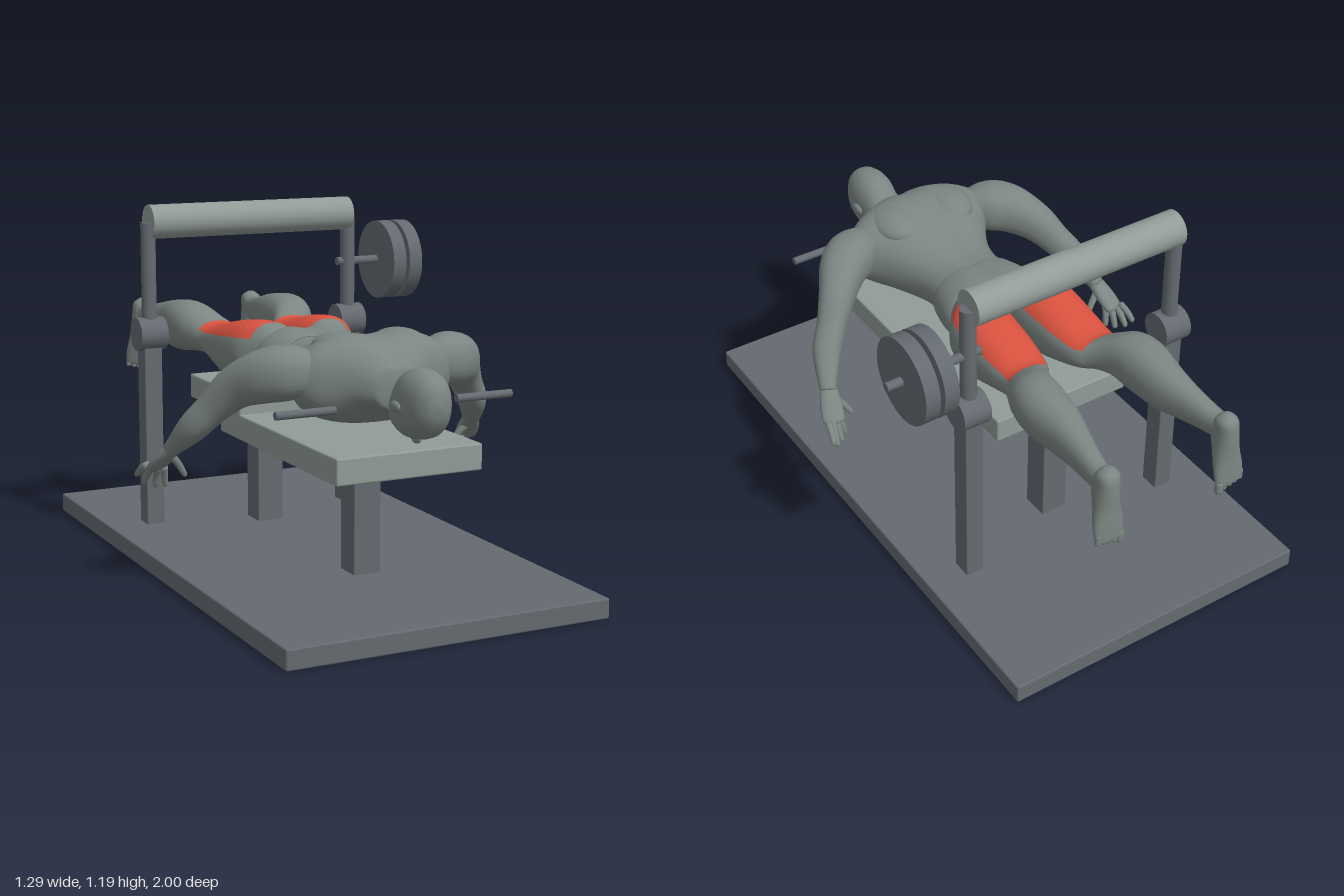
import * as THREE from 'three';
import { RoundedBoxGeometry } from 'three/addons/geometries/RoundedBoxGeometry.js';

const MID = -0.023; // centre line of machine and figure
const mat = (name, color) => Object.assign(new THREE.MeshStandardMaterial({ color }), { name });

// Smooth skin over elliptical sections [x, y, z, halfWidth, halfHeight].
// dir fixes the section plane; paint(point, sin) marks faces for the second material.
function loft(sections, { dir, up = [0, 1, 0], sides = 28, steps = 5, shape = () => 1, paint = () => false } = {}) {
  const path = new THREE.CatmullRomCurve3(sections.map(s => new THREE.Vector3(s[0], s[1], s[2])), false, 'catmullrom', 0.5);
  const size = new THREE.CatmullRomCurve3(sections.map(s => new THREE.Vector3(s[3], s[4], 0)), false, 'catmullrom', 0.5);
  const rows = (sections.length - 1) * steps;
  const pos = [], plain = [], painted = [];
  const ref = new THREE.Vector3(...up);
  for (let i = 0; i <= rows; i++) {
    const c = path.getPoint(i / rows), r = size.getPoint(i / rows);
    const t = dir ? new THREE.Vector3(...dir) : path.getTangent(i / rows);
    const u = ref.clone().cross(t).normalize(), v = t.clone().cross(u);
    for (let j = 0; j < sides; j++) {
      const a = j / sides * Math.PI * 2, cs = Math.cos(a), sn = Math.sin(a);
      const k = shape(cs, sn, c);
      const p = c.clone()
        .addScaledVector(u, Math.sign(cs) * Math.abs(cs) ** 0.88 * r.x * k)
        .addScaledVector(v, Math.sign(sn) * Math.abs(sn) ** 0.88 * r.y * k);
      pos.push(p.x, p.y, p.z);
    }
    if (i === rows) break;
    for (let j = 0; j < sides; j++) {
      const a = i * sides + j, b = i * sides + (j + 1) % sides;
      const list = paint(c, Math.sin((j + 0.5) / sides * Math.PI * 2)) ? painted : plain;
      list.push(a, b, b + sides, a, b + sides, a + sides);
    }
  }
  // end caps
  const first = sections[0], last = sections[sections.length - 1], n = pos.length / 3;
  pos.push(first[0], first[1], first[2], last[0], last[1], last[2]);
  for (let j = 0; j < sides; j++) {
    const k = (j + 1) % sides, e = rows * sides;
    plain.push(n, k, j, n + 1, e + j, e + k);
  }
  const g = new THREE.BufferGeometry();
  g.setAttribute('position', new THREE.Float32BufferAttribute(pos, 3));
  g.setIndex([...plain, ...painted]);
  g.addGroup(0, plain.length, 0);
  if (painted.length) g.addGroup(plain.length, painted.length, 1);
  g.computeVertexNormals();
  return g;
}

export function createModel() {
  const root = new THREE.Group();
  root.name = 'legCurlMachineWithFigure';
  const steel = mat('steel', 0x646a70);
  const pad = mat('padding', 0x919b97);
  const skin = mat('body', 0x7b8582);
  const red = mat('workedMuscle', 0xd9523f);

  const add = (name, geo, material, x = 0, y = 0, z = 0, parent = root) => {
    const m = new THREE.Mesh(geo, material);
    m.name = name;
    m.position.set(x, y, z);
    parent.add(m);
    return m;
  };
  // box given by its limits
  const box = (name, material, [x0, x1], [y0, y1], [z0, z1], r = 0.006) =>
    add(name, new RoundedBoxGeometry(x1 - x0, y1 - y0, z1 - z0, 2, r), material, (x0 + x1) / 2, (y0 + y1) / 2, (z0 + z1) / 2);
  // cylinder lying along x
  const rod = (name, material, x0, x1, y, z, r, sides = 40) =>
    add(name, new THREE.CylinderGeometry(r, r, x1 - x0, sides).rotateZ(Math.PI / 2), material, (x0 + x1) / 2, y, z);

  // base and bench
  box('basePlate', steel, [-0.57, 0.524], [0, 0.066], [-0.982, 1]);
  box('frontPad', pad, [-0.274, 0.228], [0.44, 0.525], [-0.15, 0.725]);
  box('rearPad', pad, [-0.274, 0.228], [0.51, 0.594], [-0.418, 0.01]);
  box('frontBenchLeg', steel, [-0.07, 0.024], [0.06, 0.445], [0.348, 0.444], 0.003);
  box('rearBenchLeg', steel, [-0.07, 0.024], [0.06, 0.515], [-0.39, -0.294], 0.003);

  // curl frame
  for (const s of [-1, 1]) {
    const x = MID + s * 0.385, side = s > 0 ? 'left' : 'right';
    box(side + 'Post', steel, [x - 0.032, x + 0.032], [0.06, 0.74], [-0.492, -0.422], 0.003);
    rod(side + 'Pivot', steel, x - 0.049, x + 0.049, 0.739, -0.457, 0.058);
    add(side + 'LeverArm', new THREE.CylinderGeometry(0.026, 0.026, 0.385, 24), steel, x, 0.9325, -0.457);
    rod(side + 'Handle', steel, MID + s * 0.309 - 0.099, MID + s * 0.309 + 0.099, 0.652, 0.63, 0.013, 20);
  }
  rod('ankleRoller', pad, -0.405, 0.361, 1.127, -0.46, 0.059);
  rod('weightBar', steel, 0.32, 0.648, 0.953, -0.457, 0.015, 20);
  rod('innerWeightPlate', steel, 0.48, 0.53, 0.952, -0.457, 0.141, 56);
  rod('outerWeightPlate', steel, 0.545, 0.595, 0.952, -0.457, 0.141, 56);

  // lying figure, face down, head towards the front
  const figure = new THREE.Group();
  figure.name = 'figure';
  figure.position.x = MID;
  root.add(figure);
  const part = (name, geo, material = skin) => add(name, geo, material, 0, 0, 0, figure);
  const back = [0, 0, -1];

  // torso with a groove along the spine
  part('torso', loft([
    [0, 0.70, 0.64, 0.065, 0.06], [0, 0.722, 0.58, 0.15, 0.10], [0, 0.718, 0.52, 0.25, 0.138],
    [0, 0.712, 0.45, 0.275, 0.147], [0, 0.70, 0.36, 0.212, 0.136], [0, 0.69, 0.27, 0.165, 0.115],
    [0, 0.69, 0.19, 0.145, 0.10], [0, 0.692, 0.118, 0.147, 0.099], [0, 0.694, 0.106, 0.16, 0.105],
    [0, 0.70, 0, 0.182, 0.113], [0, 0.70, -0.06, 0.15, 0.09], [0, 0.70, -0.1, 0.06, 0.05],
  ], {
    dir: back, sides: 56,
    shape: (c, s, p) => s > 0 ? 1 - (p.z < 0.08 ? 0.14 : 0.11) * Math.exp(-((c / 0.2) ** 2)) : 1,
  }));

  // neck and head
  part('neck', loft([
    [0, 0.715, 0.55, 0.12, 0.09], [0, 0.705, 0.61, 0.07, 0.062], [0, 0.69, 0.66, 0.056, 0.06], [0, 0.69, 0.72, 0.05, 0.06],
  ], { dir: back }));
  part('head', loft([
    [0, 0.692, 0.898, 0.008, 0.012], [0, 0.692, 0.885, 0.04, 0.055], [0, 0.686, 0.85, 0.064, 0.092],
    [0, 0.682, 0.79, 0.075, 0.108], [0, 0.674, 0.73, 0.069, 0.102], [0, 0.655, 0.68, 0.054, 0.07],
    [0, 0.645, 0.65, 0.035, 0.045], [0, 0.645, 0.64, 0.01, 0.012],
  ], { dir: back }));
  add('nose', new THREE.SphereGeometry(1, 14, 10).scale(0.013, 0.018, 0.025), skin, 0, 0.573, 0.755, figure);

  for (const s of [-1, 1]) {
    const side = s > 0 ? 'left' : 'right';
    const flip = list => list.map(([x, ...r]) => [x * s, ...r]);
    add(side + 'Ear', new THREE.SphereGeometry(1, 16, 12).scale(0.01, 0.018, 0.03), skin, s * 0.077, 0.675, 0.762, figure);
    add(side + 'ShoulderBlade', new THREE.SphereGeometry(1, 24, 16).scale(0.085, 0.05, 0.11), skin, s * 0.105, 0.806, 0.45, figure);

    // leg with the back of the thigh coloured
    part(side + 'Leg', loft(flip([
      [0.085, 0.70, 0.02, 0.06, 0.075], [0.10, 0.704, -0.04, 0.088, 0.108], [0.117, 0.702, -0.1, 0.108, 0.116],
      [0.123, 0.695, -0.2, 0.108, 0.112], [0.125, 0.70, -0.3, 0.10, 0.087], [0.133, 0.708, -0.4, 0.086, 0.06],
      [0.16, 0.725, -0.45, 0.078, 0.066], [0.185, 0.74, -0.51, 0.08, 0.082], [0.194, 0.739, -0.59, 0.081, 0.09],
      [0.194, 0.733, -0.7, 0.065, 0.081], [0.205, 0.73, -0.8, 0.047, 0.062], [0.218, 0.728, -0.9, 0.036, 0.046],
      [0.222, 0.73, -0.95, 0.034, 0.044],
    ]), { dir: back, sides: 36, paint: (p, sn) => p.z < -0.04 && p.z > -0.42 && sn > 0.44 }), [skin, red]);

    // foot hanging down, sole to the back
    part(side + 'Foot', loft(flip([
      [0.222, 0.79, -0.955, 0.012, 0.012], [0.222, 0.77, -0.955, 0.034, 0.034], [0.224, 0.72, -0.95, 0.038, 0.046],
      [0.226, 0.65, -0.96, 0.044, 0.036], [0.228, 0.59, -0.974, 0.052, 0.024], [0.228, 0.545, -0.984, 0.049, 0.015],
      [0.228, 0.535, -0.986, 0.03, 0.01],
    ]), { dir: [0, -1, 0], up: [0, 0, 1] }));
    for (let i = 0; i < 5; i++) {
      const r = i ? 0.0095 : 0.0135;
      add(side + 'Toe', new THREE.CapsuleGeometry(r, 0.025, 4, 10), skin, s * (0.19 + i * 0.02), 0.531 + i * 0.005, -0.985, figure);
    }

    // arm
    part(side + 'Arm', loft(flip([
      [0.19, 0.74, 0.47, 0.05, 0.06], [0.27, 0.742, 0.445, 0.082, 0.085], [0.335, 0.73, 0.405, 0.08, 0.085],
      [0.40, 0.69, 0.335, 0.062, 0.07], [0.457, 0.62, 0.28, 0.05, 0.054], [0.505, 0.555, 0.235, 0.048, 0.048],
      [0.54, 0.49, 0.175, 0.033, 0.031], [0.552, 0.465, 0.15, 0.027, 0.024],
    ])));

    // hand with spread fingers
    part(side + 'Palm', loft(flip([
      [0.546, 0.478, 0.165, 0.026, 0.022], [0.562, 0.435, 0.118, 0.037, 0.021], [0.576, 0.397, 0.078, 0.036, 0.016],
      [0.578, 0.39, 0.072, 0.02, 0.008],
    ])));
    const fingers = [
      [[0.60, 0.405, 0.07], [0.615, 0.36, 0.005]], [[0.585, 0.40, 0.076], [0.595, 0.335, 0.02]],
      [[0.568, 0.397, 0.082], [0.566, 0.325, 0.045]], [[0.552, 0.40, 0.09], [0.54, 0.33, 0.07]],
      [[0.545, 0.445, 0.135], [0.487, 0.368, 0.115]],
    ];
    for (const [a, b] of fingers) {
      const m = a.map((v, i) => (v + b[i]) / 2 + (i === 1 ? 0.006 : 0));
      const e = a.map((v, i) => b[i] + (v - b[i]) * 0.08);
      part(side + 'Finger', loft(flip([[...a, 0.013, 0.013], [...m, 0.0115, 0.0115], [...e, 0.009, 0.009], [...b, 0.003, 0.003]]),
        { sides: 10, steps: 3 }));
    }
  }
  return root;
}
